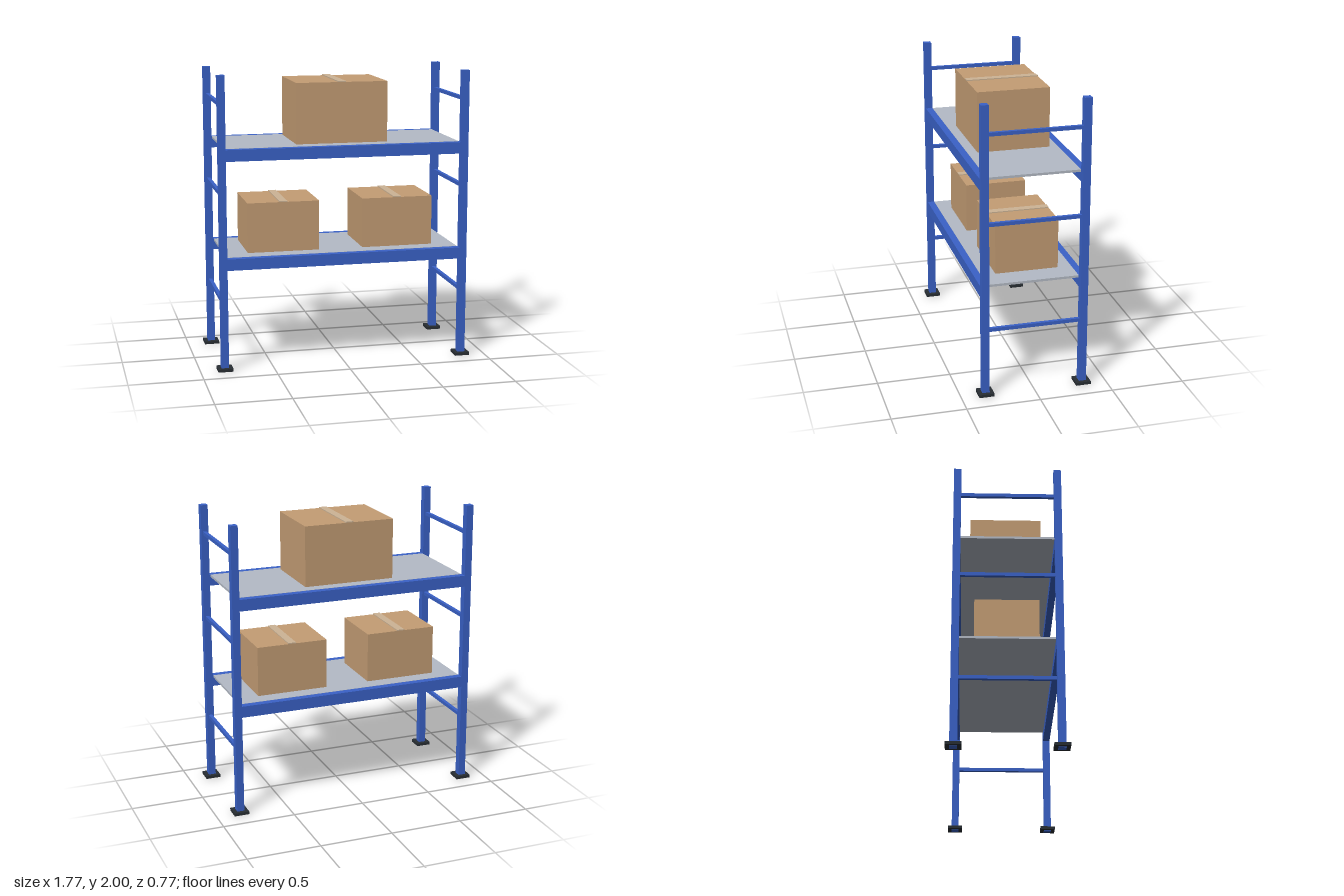
import * as THREE from 'three';

const mat = (name, color) => {
  const m = new THREE.MeshStandardMaterial({ color });
  m.name = name;
  return m;
};

export function createModel() {
  const blue = mat('blue steel', 0x3a62c8);
  const grey = mat('grey deck', 0xb4bbc6);
  const dark = mat('dark foot', 0x282e33);
  const card = mat('cardboard', 0xc49d74);
  const tapeMat = mat('packing tape', 0xcdb496);

  const model = new THREE.Group();
  model.name = 'storageRack';

  // Box given by size, centre in x and z, and the height of its underside
  const block = (parent, name, material, [w, h, d], x, bottom, z) => {
    const mesh = new THREE.Mesh(new THREE.BoxGeometry(w, h, d), material);
    mesh.name = name;
    mesh.position.set(x, bottom + h / 2, z);
    parent.add(mesh);
  };

  // End frames: two posts on feet, joined by three braces
  for (const sx of [-1, 1]) {
    const frame = new THREE.Group();
    frame.name = sx > 0 ? 'leftFrame' : 'rightFrame';
    const x = sx * 0.835;
    for (const z of [-0.335, 0.335]) {
      block(frame, 'post', blue, [0.05, 2, 0.05], x, 0, z);
      block(frame, 'foot', dark, [0.103, 0.02, 0.103], x, 0.004, z);
    }
    for (const y of [0.459, 1.193, 1.793]) {
      block(frame, 'brace', blue, [0.024, 0.024, 0.62], x, y, 0);
    }
    model.add(frame);
  }

  // Shelves: front and back beams with a thin deck between them
  for (const top of [0.775, 1.51]) {
    const shelf = new THREE.Group();
    shelf.name = top < 1 ? 'lowerShelf' : 'upperShelf';
    for (const z of [-0.335, 0.335]) {
      block(shelf, 'beam', blue, [1.62, 0.078, 0.048], 0, top - 0.078, z);
    }
    block(shelf, 'deck', grey, [1.61, 0.016, 0.622], 0, top - 0.015, 0);
    model.add(shelf);
  }

  // Cardboard boxes with a strip of tape along the top seam
  const carton = (name, size, x, bottom) => {
    const box = new THREE.Group();
    box.name = name;
    block(box, 'carton', card, size, x, bottom, 0);
    block(box, 'tape', tapeMat, [0.054, 0.007, size[2]], x, bottom + size[1], 0);
    model.add(box);
  };
  carton('upperBox', [0.63, 0.412, 0.496], 0, 1.516);
  carton('lowerRightBox', [0.495, 0.342, 0.43], -0.4, 0.779);
  carton('lowerLeftBox', [0.495, 0.342, 0.43], 0.4, 0.779);

  return model;
}
